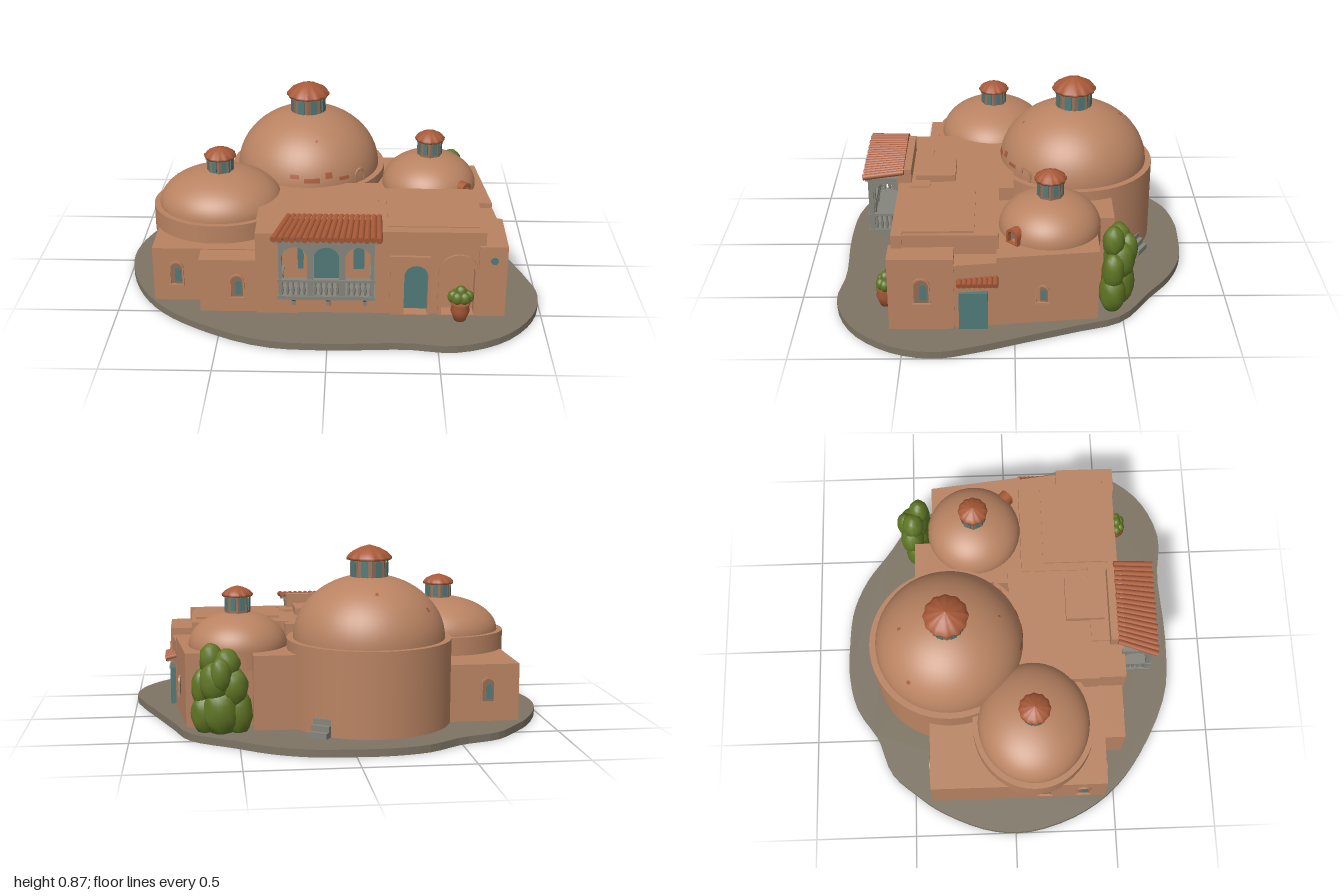
import * as THREE from 'three';

const mat = (name, color, extra = {}) => {
  const m = new THREE.MeshStandardMaterial({ color, ...extra });
  m.name = name;
  return m;
};

export function createModel() {
  const root = new THREE.Group();
  root.name = 'domedHouse';
  const plaster = mat('plaster', 0xb98362);
  const worn = mat('wornPlaster', 0x8f6d57);
  const tile = mat('terracotta', 0xa85a38);
  const teal = mat('tealPaint', 0x4f7a78);
  const wood = mat('greyWood', 0x85857c);
  const stone = mat('groundStone', 0x7d7464);
  const leaf = mat('foliage', 0x5f7524);
  const G = 0.035; // ground level

  const add = (name, geo, material, x = 0, y = 0, z = 0, parent = root) => {
    const m = new THREE.Mesh(geo, material);
    m.name = name;
    m.position.set(x, y, z);
    parent.add(m);
    return m;
  };
  const group = (name, x = 0, y = 0, z = 0, ry = 0) => {
    const g = new THREE.Group();
    g.name = name;
    g.position.set(x, y, z);
    g.rotation.y = ry;
    root.add(g);
    return g;
  };
  // box given by its extents
  const block = (name, x0, x1, y0, y1, z0, z1, m = plaster, parent = root) =>
    add(name, new THREE.BoxGeometry(x1 - x0, y1 - y0, z1 - z0), m, (x0 + x1) / 2, (y0 + y1) / 2, (z0 + z1) / 2, parent);
  const extrude = (shape, depth) => new THREE.ExtrudeGeometry(shape, { depth, bevelEnabled: false, curveSegments: 8 });
  // ground plan raised from y0 to y1
  const prism = (name, pts, y0, y1, m = plaster) => {
    const geo = extrude(new THREE.Shape(pts.map(([x, z]) => new THREE.Vector2(x, z))), y1 - y0);
    geo.rotateX(Math.PI / 2);
    return add(name, geo, m, 0, y1, 0);
  };
  // round-headed outline, centred on cx and standing on y
  const arch = (w, h, cx = 0, y = 0, Type = THREE.Shape) => {
    const s = new Type();
    s.moveTo(cx - w / 2, y);
    s.lineTo(cx + w / 2, y);
    s.lineTo(cx + w / 2, y + h - w / 2);
    s.absarc(cx, y + h - w / 2, w / 2, 0, Math.PI, false);
    s.lineTo(cx - w / 2, y);
    return s;
  };
  const hole = (w, h, cx, y) => arch(w, h, cx, y, THREE.Path);
  const beam = (name, a, b, t, m, parent = root) => {
    const p = new THREE.Vector3(...a), q = new THREE.Vector3(...b);
    const o = add(name, new THREE.BoxGeometry(t, t, p.distanceTo(q)), m, 0, 0, 0, parent);
    o.position.copy(p).lerp(q, 0.5);
    o.lookAt(q);
    return o;
  };

  // Ground slab
  const edge = [[0, -.84], [.2, -.82], [.37, -.75], [.52, -.64], [.72, -.49], [.8, -.28], [.88, -.05], [.96, .18], [1, .36], [.95, .56],
    [.8, .74], [.58, .83], [.35, .81], [0, .825], [-.3, .8], [-.6, .66], [-.8, .5], [-.93, .3], [-1, .05], [-.98, -.15], [-.88, -.38],
    [-.8, -.49], [-.68, -.62], [-.5, -.69], [-.33, -.8], [-.15, -.84]];
  const curve = new THREE.CatmullRomCurve3(edge.map(([x, z]) => new THREE.Vector3(x, 0, z)), true);
  prism('ground', curve.getPoints(90).slice(0, -1).map((p) => [p.x, p.z]), 0, G, stone);

  // Building masses
  block('leftWing', -.83, -.3, G, .31, -.41, .45);
  block('leftPorch', -.6, -.3, G, .305, .3, .55);
  block('leftPier', -.335, -.14, G, .45, .42, .56);
  block('centralHall', -.34, .25, G, .45, 0, .43);
  block('centralFront', -.15, .25, G, .46, .4, .55);
  block('roofHatch', -.04, .18, .44, .485, .28, .47);
  block('balconyParapet', -.17, .21, .44, .53, .49, .56);
  prism('rightWing', [[.2, -.47], [.43, -.47], [.43, -.38], [.74, -.38], [.79, .08], [.2, .08]], G, .385);
  prism('sideEntry', [[.2, .07], [.79, .07], [.815, .29], [.2, .29]], G, .36);
  block('rightHall', .23, .71, G, .455, .07, .5);
  block('rightHallRoof', .27, .69, .45, .465, .18, .5);
  block('cornerPier', .69, .82, G, .395, .27, .565);

  // Right front wall with its door and niche
  const wall = new THREE.Shape([[.23, G], [.72, G], [.72, .46], [.23, .46]].map((p) => new THREE.Vector2(...p)));
  wall.holes.push(hole(.11, .255, .405, G + .004), hole(.15, .29, .6, G + .004));
  add('rightFrontWall', extrude(wall, .05), plaster, 0, 0, .5);
  add('frontDoor', extrude(arch(.11, .255), .008), teal, .405, G, .502);
  const portal = new THREE.Shape([[.285, G], [.47, G], [.47, .34], [.285, .34]].map((p) => new THREE.Vector2(...p)));
  portal.holes.push(hole(.11, .255, .405, G + .004));
  add('doorPortal', extrude(portal, .015), plaster, 0, 0, .55);
  const ring = arch(.185, .315);
  ring.holes.push(hole(.15, .29, 0, .004));
  add('nicheSurround', extrude(ring, .012), plaster, .6, G, .55);
  const vent = add('roundVent', new THREE.CylinderGeometry(.018, .018, .008, 12), teal, .76, .325, .567);
  vent.rotation.x = Math.PI / 2;

  // Arched windows
  const window_ = (x, y, z, ry, w = .055, h = .11, m = worn) => {
    const g = group('window', x, y, z, ry);
    const f = arch(w + .014, h + .014, 0, -.007);
    f.holes.push(hole(w, h, 0, 0));
    add('windowFrame', extrude(f, .009), plaster, 0, 0, 0, g);
    add('windowRecess', extrude(arch(w, h), .003), m, 0, 0, 0, g);
    add('windowGlass', extrude(arch(w * .5, h * .65), .005), teal, w * .12, h * .12, 0, g);
    block('windowSill', -w * .65, w * .65, -.012, 0, 0, .014, plaster, g);
  };
  window_(-.72, .125, .45, 0);
  window_(-.425, .115, .55, 0);
  window_(.82, .175, .415, Math.PI / 2, .065, .12);
  window_(.767, .145, -.125, Math.PI / 2 - .1, .05, .08);
  window_(-.83, .13, .15, -Math.PI / 2);
  window_(-.83, .13, .34, -Math.PI / 2);
  window_(-.68, .13, -.41, Math.PI);

  // Side door and its tiled awning
  block('sideDoor', .795, .822, G, .22, .12, .25, teal);
  const awning = group('sideAwning', .775, .285, .165);
  awning.rotation.z = -.22;
  block('awningBoard', -.06, .065, -.012, 0, -.09, .09, wood, awning);
  for (let i = 0; i < 8; i++) {
    const t = add('awningTile', new THREE.CylinderGeometry(.012, .013, .135, 8), tile, .002, .004, -.08 + i * .023, awning);
    t.rotation.z = Math.PI / 2;
  }

  // Domes, each with a drum and a lantern
  const dome = (name, x, z, drumR, drum0, base, rx, rz, h, lanternR, l0, l1, top) => {
    const g = group(name, x, 0, z);
    const drum = add(name + 'Drum', new THREE.CylinderGeometry(drumR, drumR, base - drum0, 48), plaster, 0, (base + drum0) / 2, 0, g);
    drum.scale.z = rz / rx;
    const shell = add(name + 'Shell', new THREE.SphereGeometry(1, 48, 16, 0, Math.PI * 2, 0, Math.PI / 2), plaster, 0, base - .002, 0, g);
    shell.scale.set(rx, h, rz);
    const n = 8, r = lanternR, hh = l1 - l0;
    const body = new THREE.CylinderGeometry(r * .92, r, hh, n).toNonIndexed();
    body.computeVertexNormals();
    add('lantern', body, worn, 0, (l0 + l1) / 2, 0, g);
    for (let i = 0; i < n; i++) {
      const a = ((i + .5) / n) * Math.PI * 2, d = r * Math.cos(Math.PI / n);
      const p = add('lanternWindow', extrude(arch(r * .36, hh * .65), .006), teal, Math.sin(a) * d * .965, l0 + hh * .25, Math.cos(a) * d * .965, g);
      p.rotation.y = a;
    }
    // scalloped tile cap
    const k = top - l1;
    const prof = [[0, -.012], [r * 1.12, -.012], [r * 1.14, 0], [r * .9, k * .4], [r * .5, k * .75], [r * .15, k * .93], [0, k]];
    const cap = new THREE.LatheGeometry(prof.map((p) => new THREE.Vector2(...p)), 48);
    const pos = cap.attributes.position;
    for (let i = 0; i < pos.count; i++) {
      const s = 1 + .035 * Math.cos(12 * Math.atan2(pos.getX(i), pos.getZ(i)));
      pos.setX(i, pos.getX(i) * s);
      pos.setZ(i, pos.getZ(i) * s);
    }
    cap.computeVertexNormals();
    add('lanternCap', cap, tile, 0, l1, 0, g);
    // exposed brick following the dome surface
    return (phi, dPhi, theta, dTheta) => {
      const m = add('exposedBrick', new THREE.SphereGeometry(1.004, 6, 4, phi, dPhi, theta, dTheta), tile, 0, base - .002, 0, g);
      m.scale.copy(shell.scale);
    };
  };
  const brick = dome('mainDome', -.125, -.3, .39, G, .435, .36, .365, .3, .092, .69, .815, .872);
  dome('leftDome', -.535, .1, .328, .27, .4, .3, .272, .17, .066, .545, .642, .68);
  dome('rightDome', .49, -.165, .235, .3, .39, .235, .235, .16, .063, .53, .632, .67);
  for (const [a, da, t, dt] of [[1.35, .13, 1.3, .07], [1.55, .22, 1.36, .08], [1.85, .1, 1.28, .1], [2.05, .16, 1.38, .06],
    [1.75, .05, .75, .04], [4.7, .06, .65, .06], [5.6, .06, 1.0, .07]]) brick(a, da, t, dt);

  // Small arched dormers at the dome feet
  for (const [x, y, z, m] of [[.13, .43, -.07, plaster], [.655, .385, 0, tile]]) {
    const g = group('dormer', x, y, z, Math.PI / 4);
    const s = arch(.07, .075);
    s.holes.push(hole(.045, .058, 0, .004));
    add('dormerArch', extrude(s, .06), m, 0, 0, -.04, g);
    add('dormerRecess', extrude(arch(.046, .058), .04), worn, 0, 0, -.04, g);
  }

  // Balcony: floor, arcades, railing, struts, door
  const b = group('balcony');
  block('balconyFloor', -.225, .215, .19, .208, .54, .705, wood, b);
  const arcade = (name, len, n, x, z, ry) => {
    const s = new THREE.Shape([[0, .2], [len, .2], [len, .485], [0, .485]].map((p) => new THREE.Vector2(...p)));
    const step = len / n;
    for (let i = 0; i < n; i++) s.holes.push(hole(step - .028, .245, step * (i + .5), .21));
    const m = add(name, extrude(s, .016), wood, x, 0, z, b);
    m.rotation.y = ry;
  };
  arcade('frontArcade', .43, 3, -.22, .684, 0);
  arcade('leftArcade', .145, 1, .194, .69, Math.PI / 2);
  arcade('rightArcade', .145, 1, -.22, .69, Math.PI / 2);
  const baluster = new THREE.LatheGeometry([[.004, 0], [.009, .022], [.004, .045], [.007, .07]].map((p) => new THREE.Vector2(...p)), 6);
  block('frontRail', -.225, .215, .28, .292, .682, .706, wood, b);
  for (let i = 0; i < 17; i++) add('baluster', baluster, wood, -.205 + i * .025, .21, .692, b);
  for (const x of [-.212, .202]) {
    block('sideRail', x - .011, x + .011, .28, .292, .55, .7, wood, b);
    for (let i = 0; i < 5; i++) add('baluster', baluster, wood, x, .21, .57 + i * .024, b);
  }
  for (const x of [-.16, 0, .17]) {
    beam('strut', [x, .195, .69], [x, .1, .55], .016, wood, b);
    block('strutFoot', x - .009, x + .009, .08, .19, .548, .565, wood, b);
  }
  add('balconyDoor', extrude(arch(.13, .22), .008), teal, 0, .208, .55, b);
  for (const x of [-.14, .14]) add('balconyWindow', extrude(arch(.05, .11), .006), teal, x, .27, .55, b);

  // Balcony roof of clay tiles, flaring to the right-hand corner
  const R = [.525, .715, .538, .5]; // back z, front z, back y, front y
  beam('roofBeam', [-.235, .487, .7], [.23, .487, .7], .018, wood, b);
  for (let i = 0; i < 18; i++) {
    const u = i / 17, x0 = -.18 + u * .41, x1 = -.24 + u * .47;
    const p = new THREE.Vector3(x0, R[2] - .012, R[0]), q = new THREE.Vector3(x1, R[3], R[1] + .005 * (i % 2));
    const geo = new THREE.CylinderGeometry(.015, .013, p.distanceTo(q), 8);
    geo.rotateX(Math.PI / 2);
    const t = add('roofTile', geo, tile, 0, 0, 0, b);
    t.position.copy(p).lerp(q, .5);
    t.lookAt(q);
  }

  // Foliage built from lumpy balls
  const puff = (name, x, y, z, rx, ry, rz, parent = root) => {
    const geo = new THREE.SphereGeometry(1, 18, 12);
    const pos = geo.attributes.position, v = new THREE.Vector3();
    for (let i = 0; i < pos.count; i++) {
      v.fromBufferAttribute(pos, i);
      v.multiplyScalar(1 + .08 * Math.sin(5 * v.x + 9 * y) * Math.sin(6 * v.y + x * 7) * Math.cos(5 * v.z));
      pos.setXYZ(i, v.x, v.y, v.z);
    }
    geo.scale(rx, ry, rz);
    geo.computeVertexNormals();
    add(name, geo, leaf, x, y, z, parent);
  };
  for (const [x, y, z, r, h] of [[.5, .13, -.47, .065, .11], [.58, .14, -.48, .085, .12], [.65, .12, -.45, .068, .1], [.52, .25, -.49, .065, .09],
    [.6, .27, -.48, .08, .1], [.66, .24, -.45, .055, .09], [.55, .35, -.48, .06, .075], [.62, .37, -.45, .055, .075], [.58, .31, -.52, .05, .08]])
    puff('bush', x, y, z, r, h, r * .92);

  // Potted plant
  const pot = [[0, 0], [.028, 0], [.045, .05], [.038, .075], [.046, .085], [.04, .09], [0, .085]].map((p) => new THREE.Vector2(...p));
  add('plantPot', new THREE.LatheGeometry(pot, 16), tile, .61, G, .595);
  for (let i = 0; i < 7; i++) {
    const a = i * 2 * Math.PI / 6, d = i < 6 ? .032 : 0;
    puff('pottedPlant', .61 + d * Math.cos(a) * 1.1, i < 6 ? .155 : .18, .595 + d * Math.sin(a) * .7, .026, .03, .022);
  }

  // Stone steps behind the main drum
  const steps = group('backSteps', .135, G, -.615, -.55);
  for (let i = 0; i < 3; i++) block('step', -.045, .045, 0, .027 * (i + 1), -.035 + i * .022, .035, wood, steps);

  return root;
}
